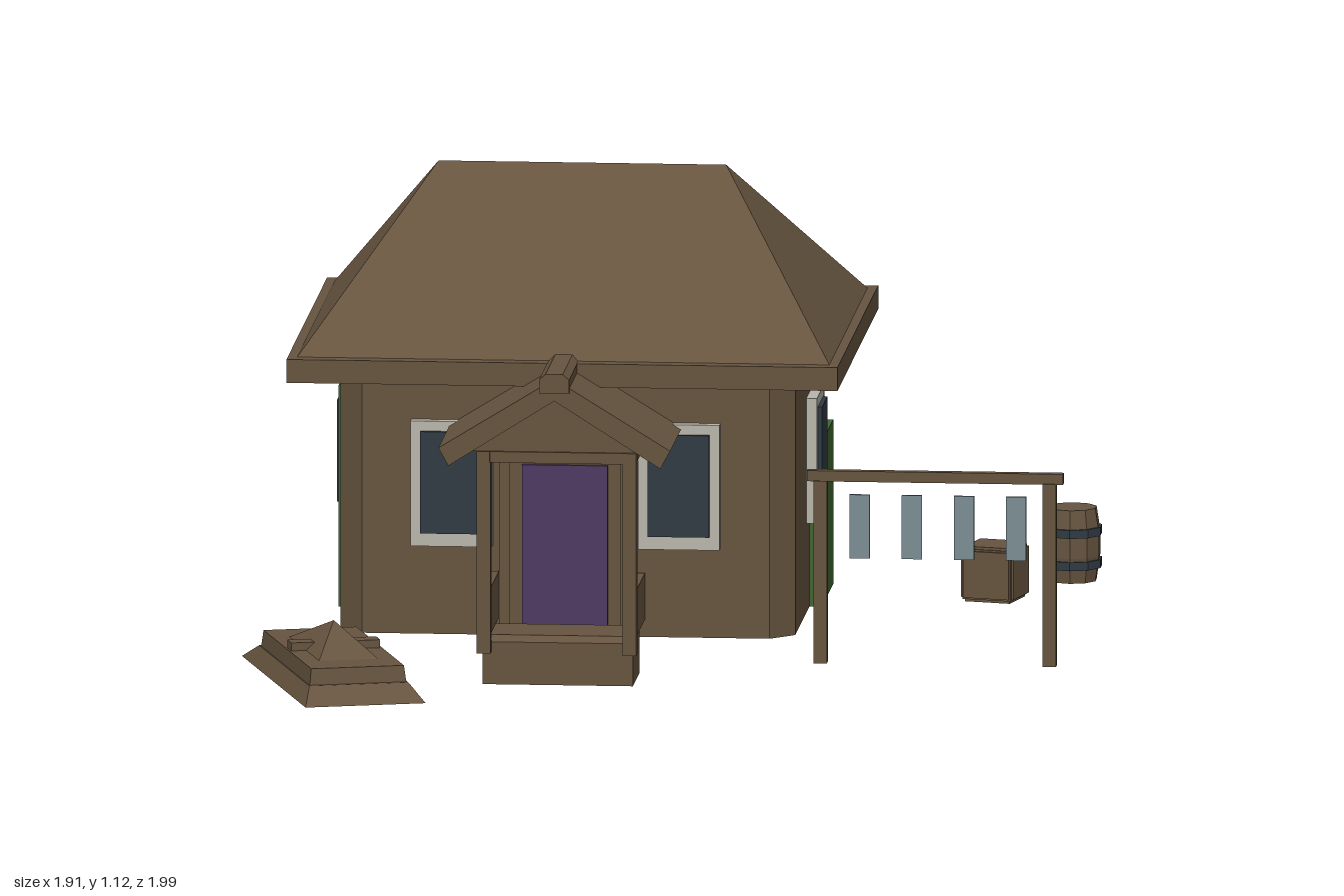
import * as THREE from 'three';

const mat = (name, color) => Object.assign(new THREE.MeshStandardMaterial({ color }), { name });

export function createModel() {
  const root = new THREE.Group();
  root.name = 'cottageYard';
  const wood = mat('brown wood', 0x66543f);
  const trim = mat('pale trim', 0xb8b5ab);
  const glass = mat('dark slate', 0x303a43);
  const green = mat('green', 0x40642f);
  const purple = mat('purple', 0x4e3a62);
  const cloth = mat('grey blue cloth', 0x7b8d93);

  const add = (parent, name, geo, material, x = 0, y = 0, z = 0) => {
    const m = new THREE.Mesh(geo, material);
    m.name = name;
    m.position.set(x, y, z);
    parent.add(m);
    return m;
  };
  const group = (name, x, y, z, ry = 0, parent = root) => {
    const g = new THREE.Group();
    g.name = name;
    g.position.set(x, y, z);
    g.rotation.y = ry;
    parent.add(g);
    return g;
  };
  // box given by its lower and upper corners
  const span = (parent, name, material, x0, x1, y0, y1, z0, z1) =>
    add(parent, name, new THREE.BoxGeometry(x1 - x0, y1 - y0, z1 - z0), material,
      (x0 + x1) / 2, (y0 + y1) / 2, (z0 + z1) / 2);
  // box standing on y = 0 whose top has its own size
  const taper = (w, h, d, tw, td) => {
    const g = new THREE.BoxGeometry(w, h, d).toNonIndexed();
    const p = g.attributes.position;
    for (let i = 0; i < p.count; i++) {
      if (p.getY(i) > 0) {
        p.setX(i, Math.sign(p.getX(i)) * tw / 2);
        p.setZ(i, Math.sign(p.getZ(i)) * td / 2);
      }
      p.setY(i, p.getY(i) + h / 2);
    }
    g.computeVertexNormals();
    return g;
  };

  // House, centred on its own axis
  const house = group('house', -0.23, 0, -0.447);
  const HX = 0.53, HZ = 0.447;
  const outline = (a, b, c, Type) => {
    const pts = [[a - c, -b], [a, c - b], [a, b - c], [a - c, b], [c - a, b], [-a, b - c], [-a, c - b], [c - a, -b]];
    return new Type(pts.map(([x, y]) => new THREE.Vector2(x, y)));
  };
  const ring = outline(HX, HZ, 0.055, THREE.Shape);
  ring.holes.push(outline(HX - 0.015, HZ - 0.015, 0.05, THREE.Path));
  const walls = new THREE.ExtrudeGeometry(ring, { depth: 0.61, bevelEnabled: false });
  walls.rotateX(-Math.PI / 2);
  add(house, 'walls', walls, wood, 0, 0.078, 0);

  // Hipped roof on an eave slab
  span(house, 'eaveSlab', wood, -0.642, 0.642, 0.683, 0.738, -0.553, 0.553);
  add(house, 'hipRoof', taper(1.24, 0.377, 1.035, 0.67, 0), wood, 0, 0.738, 0);

  // Windows: frame with a raised pane
  const addWindow = (x, z, ry) => {
    const w = group('window', x, 0.436, z, ry, house);
    add(w, 'windowFrame', new THREE.BoxGeometry(0.19, 0.295, 0.05), trim);
    add(w, 'windowPane', new THREE.BoxGeometry(0.143, 0.24, 0.03), glass, 0, 0.004, 0.02);
  };
  for (const x of [-0.265, 0.265]) {
    addWindow(x, HZ, 0);
    addWindow(x, -HZ, Math.PI);
  }
  addWindow(HX, 0, Math.PI / 2);
  addWindow(-HX, 0, -Math.PI / 2);

  // Green side panels
  span(house, 'rightPanel', green, HX - 0.025, HX + 0.029, 0.078, 0.465, -0.303, 0.007);
  span(house, 'leftPanel', green, -HX - 0.029, -HX + 0.025, 0.078, 0.6, -0.2, 0.1);

  // Porch, measured from the front wall
  const porch = group('porch', -0.23, 0, 0);
  span(porch, 'doorSurround', wood, -0.155, 0.155, 0.08, 0.555, -0.01, 0.012);
  span(porch, 'doorFrame', wood, -0.13, 0.13, 0.08, 0.52, -0.01, 0.022);
  span(porch, 'door', purple, -0.1, 0.1, 0.11, 0.485, -0.01, 0.032);
  span(porch, 'step', wood, -0.175, 0.175, 0, 0.1, 0.045, 0.22);
  add(porch, 'stepTop', taper(0.35, 0.015, 0.175, 0.32, 0.15), wood, 0, 0.1, 0.1325);
  for (const s of [-1, 1]) {
    add(porch, 'porchPost', new THREE.BoxGeometry(0.032, 0.47, 0.032), wood, s * 0.17, 0.313, 0.241);
    add(porch, 'porchRailing', new THREE.BoxGeometry(0.03, 0.11, 0.22), wood, s * 0.17, 0.175, 0.12);
    add(porch, 'sideBeam', new THREE.BoxGeometry(0.03, 0.026, 0.26), wood, s * 0.17, 0.542, 0.13);
  }
  add(porch, 'frontBeam', new THREE.BoxGeometry(0.372, 0.026, 0.034), wood, 0, 0.542, 0.241);

  // Gabled porch roof
  const along = (pts, depth) => new THREE.ExtrudeGeometry(
    new THREE.Shape(pts.map(([x, y]) => new THREE.Vector2(x, y))), { depth, bevelEnabled: false });
  add(porch, 'porchRoof', along([[0, 0.738], [-0.27, 0.572], [-0.247, 0.53], [0, 0.686], [0.247, 0.53], [0.27, 0.572]], 0.34),
    wood, 0, 0, -0.025);
  add(porch, 'gable', along([[-0.2, 0.555], [0.2, 0.555], [0, 0.69]], 0.02), wood, 0, 0, 0.231);
  add(porch, 'ridgeCap', along([[-0.035, 0.705], [0.035, 0.705], [0.035, 0.737], [0.02, 0.75], [-0.02, 0.75], [-0.035, 0.737]], 0.27),
    wood, 0, 0, 0.05);

  // Clothes line
  const line = group('clothesLine', 0.657, 0, 0.305);
  for (const s of [-1, 1])
    add(line, 'linePost', new THREE.BoxGeometry(0.031, 0.43, 0.03), wood, s * 0.267, 0.293, 0);
  add(line, 'lineBeam', new THREE.BoxGeometry(0.597, 0.025, 0.022), wood, 0, 0.519, 0);
  for (let i = 0; i < 4; i++)
    add(line, 'hangingCloth', new THREE.BoxGeometry(0.047, 0.15, 0.008), cloth, -0.176 + i * 0.1215, 0.4, 0);

  // Crate with slightly raised faces
  const crate = group('crate', 0.72, 0.143, -0.58, -0.245);
  add(crate, 'crateBody', new THREE.BoxGeometry(0.118, 0.118, 0.118), wood);
  for (const s of [[0.13, 0.11, 0.11], [0.11, 0.13, 0.11], [0.11, 0.11, 0.13]])
    add(crate, 'cratePanel', new THREE.BoxGeometry(...s), wood);

  // Barrel with two hoops
  const barrel = group('barrel', 0.877, 0.078, -0.85);
  const faceted = (pts) => {
    const g = new THREE.LatheGeometry(pts.map(([x, y]) => new THREE.Vector2(x, y)), 10).toNonIndexed();
    g.computeVertexNormals();
    return g;
  };
  add(barrel, 'staves', faceted([[0, 0], [0.058, 0], [0.067, 0.06], [0.067, 0.115], [0.058, 0.172], [0, 0.172]]), wood);
  for (const y of [0.032, 0.108])
    add(barrel, 'hoop', faceted([[0.06, y], [0.071, y], [0.071, y + 0.02], [0.06, y + 0.02]]), glass);

  // Low mound with a sloped rim and a pointed lid
  const mound = group('cellarHatch', -0.718, 0.075, 0.614, 0.296);
  add(mound, 'slopedRim', taper(0.285, 0.037, 0.708, 0.235, 0.56), wood);
  add(mound, 'hatchBox', taper(0.238, 0.075, 0.55, 0.22, 0.53), wood);
  add(mound, 'pointedLid', taper(0.14, 0.065, 0.33, 0, 0), wood, 0, 0.075, 0);
  for (const s of [-1, 1])
    add(mound, 'lidHandle', new THREE.BoxGeometry(0.055, 0.02, 0.045), wood, s * 0.078, 0.084, 0);

  return root;
}
